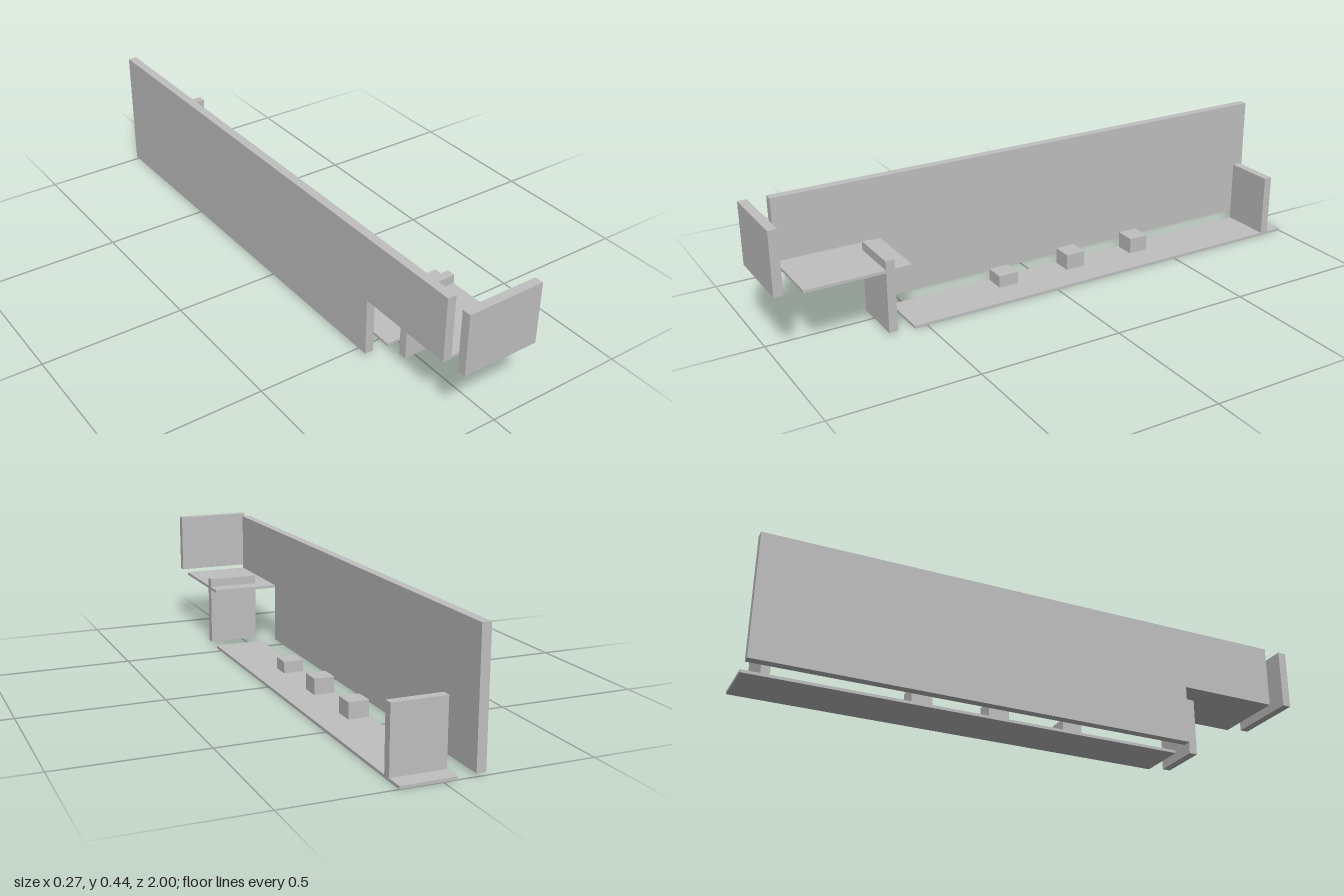
import * as THREE from 'three';

export function createModel() {
  const model = new THREE.Group();
  const grey = new THREE.MeshStandardMaterial({ color: 0xc0c0c0 });
  grey.name = 'plain grey';

  // Box given by its lower and upper corner on each axis
  function block(name, [x0, x1], [y0, y1], [z0, z1]) {
    const mesh = new THREE.Mesh(new THREE.BoxGeometry(x1 - x0, y1 - y0, z1 - z0), grey);
    mesh.position.set((x0 + x1) / 2, (y0 + y1) / 2, (z0 + z1) / 2);
    mesh.name = name;
    model.add(mesh);
  }

  const OUTER = 0.136, INNER = -0.046, T = 0.031;
  const laneX = [INNER, OUTER], fullX = [-OUTER, OUTER];

  // Long side wall, stepped up at the front end
  const profile = new THREE.Shape([
    [1, 0.01], [1, 0.445], [-0.907, 0.445], [-0.907, 0.229], [-0.545, 0.229], [-0.545, 0.01],
  ].map(([x, y]) => new THREE.Vector2(x, y)));
  const wallGeometry = new THREE.ExtrudeGeometry(profile, { depth: T, bevelEnabled: false });
  wallGeometry.rotateY(Math.PI / 2); // profile x becomes -z, depth becomes +x
  const wall = new THREE.Mesh(wallGeometry, grey);
  wall.position.x = -OUTER;
  wall.name = 'sideWall';
  model.add(wall);

  // Floors
  block('lowerFloor', laneX, [0, 0.01], [-1, 0.545]);
  block('upperFloor', fullX, [0.219, 0.229], [0.545, 0.907]);

  // Cross walls
  block('frontWall', fullX, [0.229, 0.445], [0.969, 1]);
  block('frontDivider', laneX, [0.01, 0.26], [0.605, 0.635]);
  block('backDivider', laneX, [0.01, 0.229], [-0.938, -0.908]);

  // Small blocks along the lower floor
  [[0.137, 0.052], [-0.137, 0.067], [-0.41, 0.067]].forEach(([z, top], i) =>
    block(`floorBlock${i + 1}`, [-0.039, 0.033], [0.01, top], [z - 0.036, z + 0.036]));

  return model;
}
